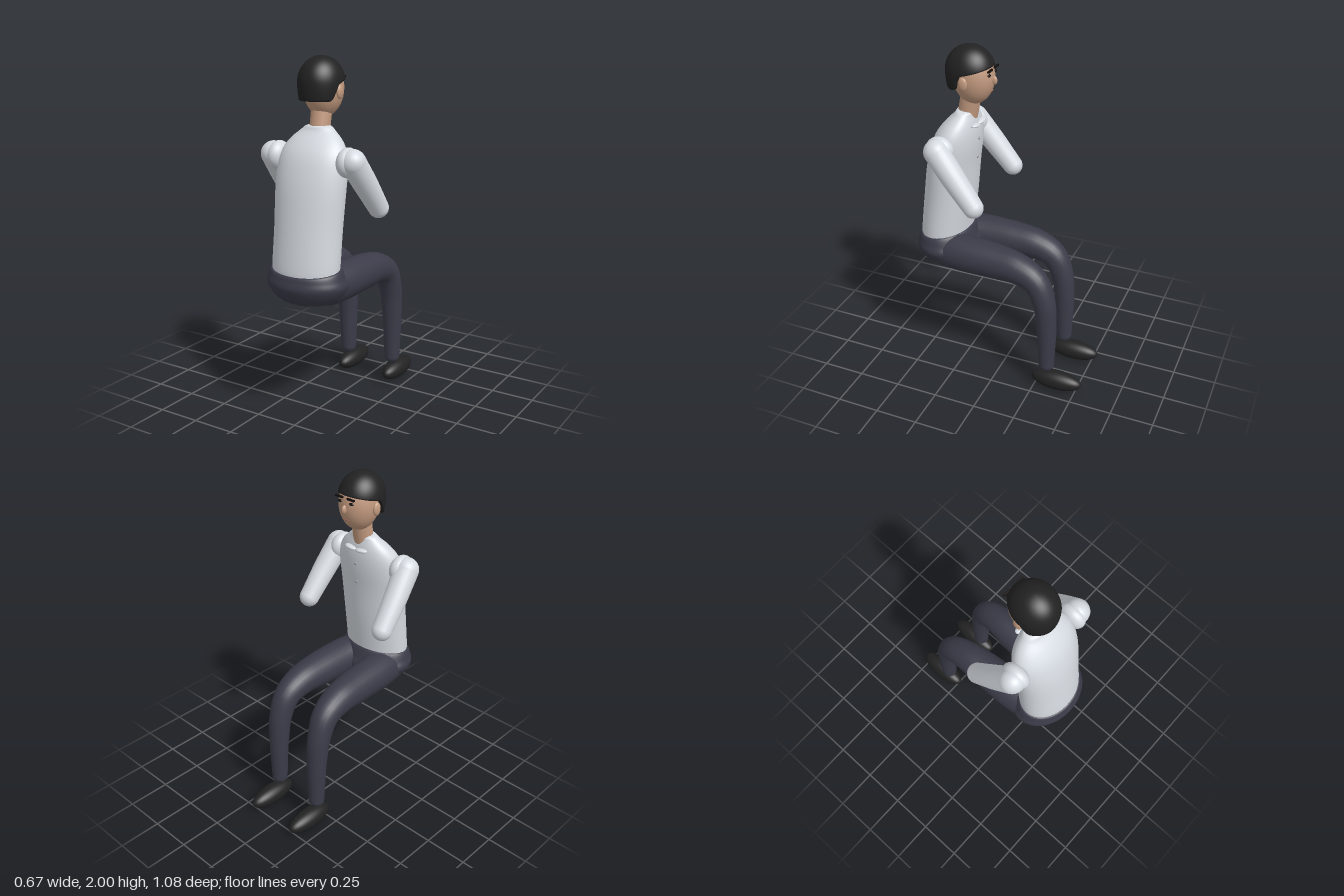
import * as THREE from 'three';

const mat = (name, color, side = THREE.FrontSide) => {
  const m = new THREE.MeshStandardMaterial({ color, side });
  m.name = name;
  return m;
};

// Closed rings of points, listed bottom to top, joined into one smooth skin
function skin(rows, cols, point) {
  const pos = [], index = [];
  for (let i = 0; i <= rows; i++) {
    for (let j = 0; j < cols; j++) {
      pos.push(...point(i / rows, (j / cols) * Math.PI * 2));
      if (i === rows) continue;
      const a = i * cols + j, b = i * cols + ((j + 1) % cols);
      index.push(a, a + cols, b, a + cols, b + cols, b);
    }
  }
  const g = new THREE.BufferGeometry();
  g.setAttribute('position', new THREE.Float32BufferAttribute(pos, 3));
  g.setIndex(index);
  g.computeVertexNormals();
  return g;
}

// Elliptical cross-sections: [y, centre z, half width, half depth, tilt]
function loft(sections) {
  const smooth = (f) => new THREE.CatmullRomCurve3(sections.map(f), false, 'catmullrom');
  const size = smooth(([y, , rx, rz]) => new THREE.Vector3(rx, y, rz));
  const shift = smooth(([y, zc, , , tilt = 0]) => new THREE.Vector3(tilt, y, zc));
  return skin(40, 48, (u, a) => {
    const s = size.getPoint(u), c = shift.getPoint(u), dz = s.z * Math.sin(a);
    return [s.x * Math.cos(a), s.y - c.x * dz, c.z + dz];
  });
}

// Tapered round limb: [x, y, z, radius] stations
function limb(stations) {
  const curve = new THREE.CatmullRomCurve3(stations.map((s) => new THREE.Vector3(s[0], s[1], s[2])));
  const seg = 40, sides = 24, last = stations.length - 1;
  const g = new THREE.TubeGeometry(curve, seg, 1, sides);
  const p = g.attributes.position, v = new THREE.Vector3();
  for (let i = 0; i <= seg; i++) {
    const c = curve.getPointAt(i / seg);
    const k = curve.getUtoTmapping(i / seg) * last, n = Math.min(Math.floor(k), last - 1);
    const r = THREE.MathUtils.lerp(stations[n][3], stations[n + 1][3], k - n);
    for (let j = 0; j <= sides; j++) {
      const id = i * (sides + 1) + j;
      v.fromBufferAttribute(p, id).sub(c).multiplyScalar(r).add(c);
      p.setXYZ(id, v.x, v.y, v.z);
    }
  }
  return g;
}

export function createModel() {
  const model = new THREE.Group();
  model.name = 'seatedPerson';
  const skinTone = mat('skin', 0xc49b80);
  const shirt = mat('shirt', 0xd5dae0);
  const trousers = mat('trousers', 0x3b3b49, THREE.DoubleSide);
  const black = mat('black', 0x222222, THREE.DoubleSide);
  const features = mat('features', 0x15100e);
  const lips = mat('lips', 0x9a6a58);
  const buttonGrey = mat('button', 0x9a9fa6);

  const add = (name, geometry, material, parent = model) => {
    const m = new THREE.Mesh(geometry, material);
    m.name = name;
    parent.add(m);
    return m;
  };
  const ball = (name, material, [x, y, z], [rx, ry, rz], parent = model) => {
    const m = add(name, new THREE.SphereGeometry(1, 32, 20), material, parent);
    m.position.set(x, y, z);
    m.scale.set(rx, ry, rz);
    return m;
  };
  const roundLimb = (name, material, stations, parent) => {
    const g = new THREE.Group();
    g.name = name;
    parent.add(g);
    add(name + 'Body', limb(stations), material, g);
    for (const [x, y, z, r] of [stations[0], stations.at(-1)]) {
      ball(name + 'End', material, [x, y, z], [r, r, r], g);
    }
  };

  // Shirt body and trouser seat
  add('torso', loft([
    [0.84, 0.37, 0.195, 0.14], [0.9, 0.369, 0.2, 0.143], [1.1, 0.345, 0.2, 0.144],
    [1.3, 0.322, 0.208, 0.138], [1.42, 0.3, 0.208, 0.13], [1.5, 0.282, 0.195, 0.115],
    [1.56, 0.262, 0.16, 0.09], [1.61, 0.242, 0.105, 0.06], [1.635, 0.236, 0.07, 0.048],
    [1.64, 0.235, 0.01, 0.01],
  ]), shirt);
  add('trouserSeat', loft([
    [0.67, 0.34, 0.003, 0.003], [0.682, 0.345, 0.1, 0.085], [0.72, 0.35, 0.19, 0.15],
    [0.79, 0.355, 0.237, 0.183], [0.84, 0.362, 0.225, 0.168], [0.882, 0.37, 0.206, 0.149, 0.12],
    [0.88, 0.37, 0.18, 0.125, 0.12],
  ]), trousers);

  // Neck and head
  add('neck', limb([[0, 1.58, 0.235, 0.056], [0, 1.65, 0.222, 0.056], [0, 1.74, 0.205, 0.057]]), skinTone);
  ball('head', skinTone, [0, 1.83, 0.19], [0.108, 0.155, 0.115]);
  ball('nose', skinTone, [0, 1.82, 0.073], [0.012, 0.025, 0.018]);
  ball('mouth', lips, [0, 1.757, 0.09], [0.025, 0.004, 0.005]);

  // Cap of hair, low at the back and high over the face, with a closed underside
  add('hair', skin(24, 48, (u, a) => {
    const back = Math.sin(a);
    const low = back > 0
      ? THREE.MathUtils.lerp(1.862, 1.77, THREE.MathUtils.smoothstep(back, 0.05, 0.5))
      : 1.862 - back * 0.036;
    const from = Math.asin((low - 1.86) / 0.14);
    const lat = THREE.MathUtils.lerp(from, Math.PI / 2, Math.max(0, u - 1 / 24) * (24 / 23));
    let r = lat < 0 ? 1 - 0.15 * Math.sin(lat) ** 2 : Math.cos(lat);
    if (u === 0) r *= 0.7;
    return [0.123 * r * Math.cos(a), 1.86 + 0.14 * Math.sin(lat), 0.21 + 0.138 * r * back];
  }), black);

  // Shirt buttons
  [[1.47, 0.168], [1.355, 0.178]].forEach(([y, z]) => ball('button', buttonGrey, [0, y, z], [0.009, 0.009, 0.007]));

  // Mirrored parts
  for (const s of [-1, 1]) {
    const side = s > 0 ? 'left' : 'right';
    ball(side + 'Ear', skinTone, [s * 0.112, 1.815, 0.205], [0.014, 0.038, 0.026]);
    ball(side + 'Eye', features, [s * 0.04, 1.857, 0.084], [0.014, 0.008, 0.007]);
    const brow = add(side + 'Eyebrow', new THREE.BoxGeometry(0.05, 0.009, 0.012), features);
    brow.position.set(s * 0.04, 1.884, 0.078);
    const collar = ball(side + 'CollarWing', shirt, [s * 0.037, 1.56, 0.17], [0.04, 0.011, 0.022]);
    collar.rotation.z = s * 0.1;

    ball(side + 'Shoulder', shirt, [s * 0.22, 1.465, 0.298], [0.055, 0.08, 0.082]);
    roundLimb(side + 'Arm', shirt, [
      [s * 0.252, 1.47, 0.302, 0.071], [s * 0.268, 1.335, 0.195, 0.066], [s * 0.279, 1.19, 0.08, 0.057],
    ], model);
    roundLimb(side + 'Leg', trousers, [
      [s * 0.115, 0.787, 0.33, 0.108], [s * 0.13, 0.788, 0.2, 0.109], [s * 0.139, 0.785, 0, 0.101],
      [s * 0.146, 0.772, -0.13, 0.089], [s * 0.152, 0.72, -0.235, 0.076], [s * 0.156, 0.6, -0.291, 0.066],
      [s * 0.156, 0.44, -0.312, 0.059], [s * 0.156, 0.16, -0.318, 0.046],
    ], model);
    ball(side + 'Shoe', black, [s * 0.157, 0.058, -0.383], [0.058, 0.058, 0.155]);
  }
  return model;
}
